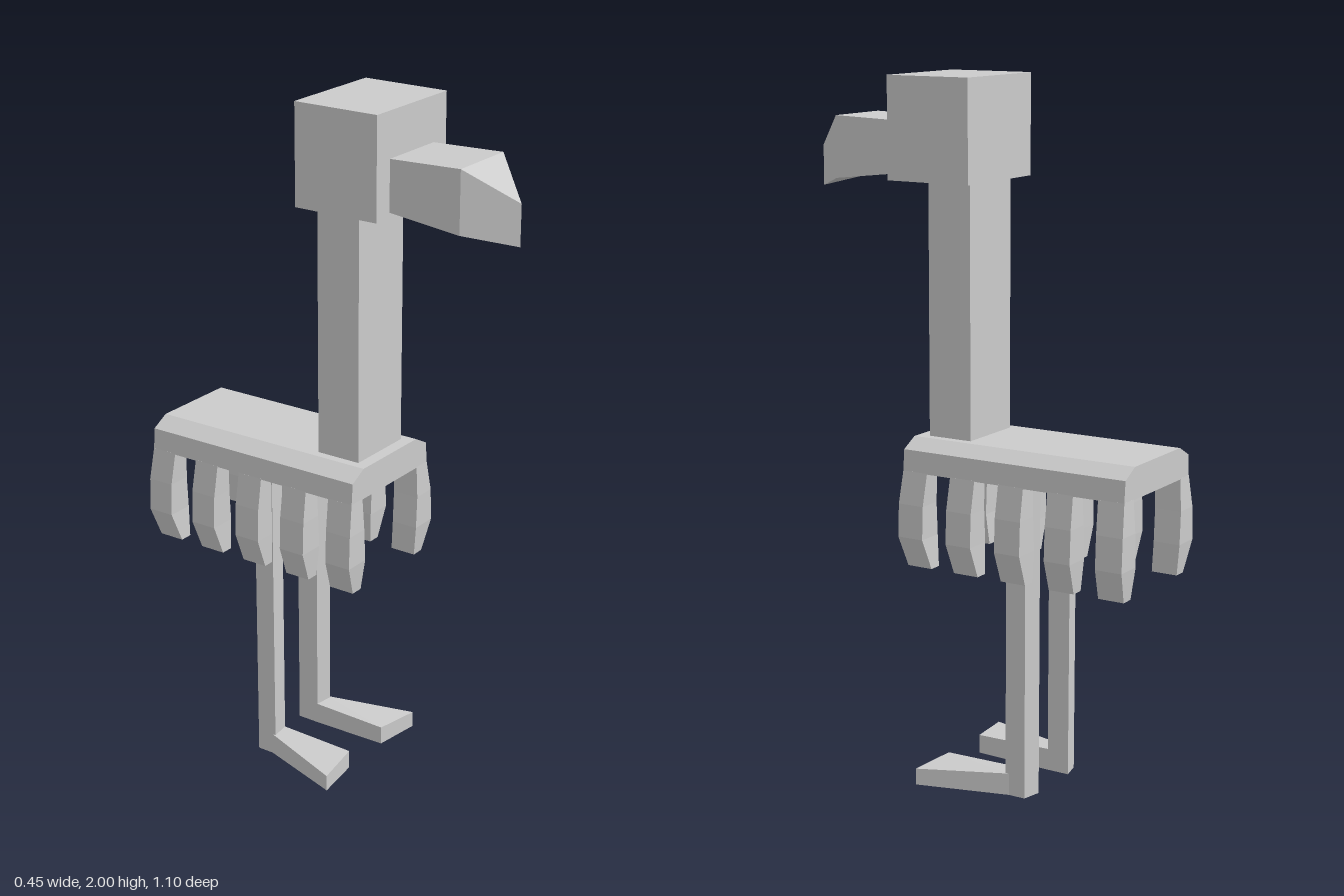
import * as THREE from 'three';

const material = new THREE.MeshStandardMaterial({ color: 0xcccccc, flatShading: true, side: THREE.DoubleSide });

function add(parent, name, geometry) {
  const mesh = new THREE.Mesh(geometry, material);
  mesh.name = name;
  parent.add(mesh);
  return mesh;
}

// Box from its lower and upper corners
function box(x0, y0, z0, x1, y1, z1) {
  return new THREE.BoxGeometry(x1 - x0, y1 - y0, z1 - z0)
    .translate((x0 + x1) / 2, (y0 + y1) / 2, (z0 + z1) / 2);
}

// Closed solid through a row of four-cornered rings, faces turned outward
function loft(rings) {
  const tris = [];
  const quad = (a, b, c, d) => tris.push([a, b, c], [a, c, d]);
  for (let i = 0; i < rings.length - 1; i++) {
    for (let j = 0; j < 4; j++) {
      const k = (j + 1) % 4;
      quad(rings[i][j], rings[i][k], rings[i + 1][k], rings[i + 1][j]);
    }
  }
  quad(...[...rings[0]].reverse());
  quad(...rings[rings.length - 1]);

  const v = tris.map(t => t.map(p => new THREE.Vector3(...p)));
  const volume = v.reduce((sum, [a, b, c]) => sum + a.dot(b.clone().cross(c)), 0);
  if (volume < 0) v.forEach(t => t.reverse());
  const geometry = new THREE.BufferGeometry().setFromPoints(v.flat());
  geometry.computeVertexNormals();
  return geometry;
}

export function createModel() {
  const model = new THREE.Group();
  model.name = 'longLeggedBird';

  // Head and neck
  add(model, 'head', box(-0.163, 1.715, -0.045, 0.163, 2, 0.215));
  add(model, 'neck', box(-0.105, 0.99, -0.015, 0.105, 1.72, 0.12));

  // Beak: a box that swells a little, then closes to an upright edge
  const beakRing = (w, y0, y1, z) => [[-w, y0, z], [w, y0, z], [w, y1, z], [-w, y1, z]];
  add(model, 'beak', loft([
    beakRing(0.103, 1.73, 1.873, 0.21),
    beakRing(0.103, 1.705, 1.88, 0.43),
    beakRing(0, 1.67, 1.785, 0.55),
  ]));

  // Back slab with bevelled upper edges
  const back = new THREE.Shape([
    [-0.187, 0.91], [0.187, 0.91], [0.182, 0.972], [0.13, 1],
    [-0.13, 1], [-0.182, 0.972],
  ].map(p => new THREE.Vector2(...p)));
  add(model, 'back', new THREE.ExtrudeGeometry(back, { depth: 0.7, bevelEnabled: false })
    .translate(0, 0, -0.545));

  // Rib profile: height, inner x, outer x, stretch along the body
  const ribProfile = [
    [0.912, 0.135, 0.187, 1],
    [0.82, 0.133, 0.203, 1.015],
    [0.725, 0.128, 0.207, 1.015],
    [0.635, 0.135, 0.173, 0.985],
  ];
  const middle = -0.195;

  for (const [side, s] of [['left', 1], ['right', -1]]) {
    // Five hanging ribs
    for (let i = 0; i < 5; i++) {
      const z1 = 0.35 - i * 0.1553, z0 = z1 - 0.079;
      add(model, `${side}Rib${i + 1}`, loft(ribProfile.map(([y, a, b, k]) => [
        [s * a, y, middle + z0 * k], [s * b, y, middle + z0 * k],
        [s * b, y, middle + z1 * k], [s * a, y, middle + z1 * k],
      ])));
    }

    // Leg, its rear face turned slightly outward
    const legRing = y => [
      [s * 0.083, y, -0.228], [s * 0.14, y, -0.215],
      [s * 0.14, y, -0.153], [s * 0.083, y, -0.16],
    ];
    add(model, `${side}Leg`, loft([legRing(0), legRing(0.915)]));

    // Foot flaring outward toward the toes
    add(model, `${side}Foot`, loft([
      [[s * 0.083, 0, -0.165], [s * 0.14, 0, -0.165], [s * 0.14, 0.064, -0.165], [s * 0.083, 0.064, -0.165]],
      [[s * 0.083, 0.005, 0.075], [s * 0.225, 0.005, 0.095], [s * 0.225, 0.053, 0.095], [s * 0.083, 0.06, 0.075]],
    ]));
  }

  return model;
}
